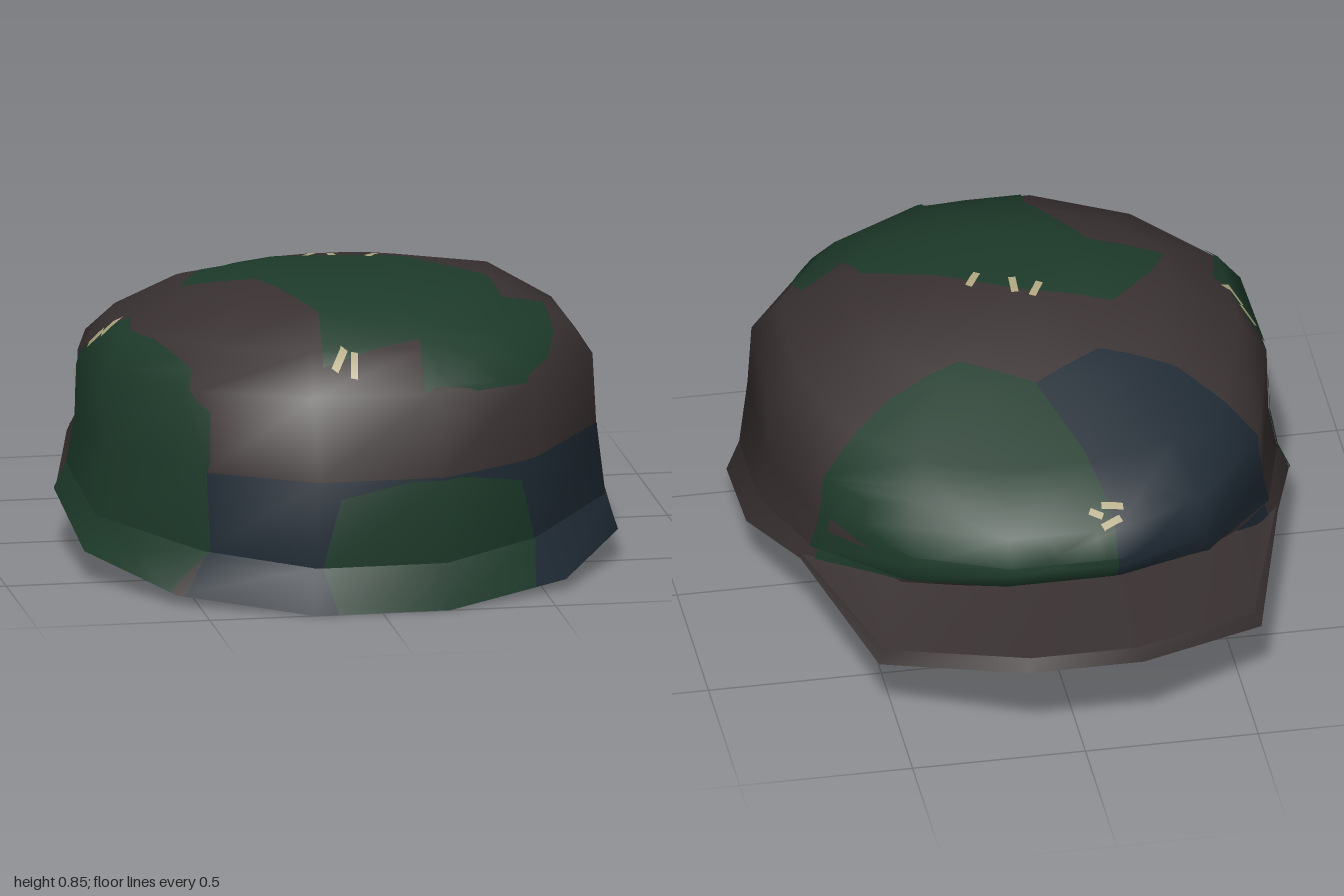
import * as THREE from 'three';

const mat = (name, color, side = THREE.FrontSide) => {
  const m = new THREE.MeshStandardMaterial({ color, side });
  m.name = name;
  return m;
};

// Half outline of a ring, front to back: width factor and depth factor
const SX = [0.25, 0.68, 0.98, 1, 0.88, 0.58, 0.22];
const SZ = [1, 0.8, 0.44, 0, -0.49, -0.86, -1];
const N = SX.length * 2;

// Rings from rim to top: half width, z front / middle / back, y front / middle / back, front corner width
const RINGS = [
  [0.785, 1.0, 0.08, -0.62, 0.0, 0.175, 0.33, 0.715],
  [0.75, 0.965, 0.08, -0.655, 0.13, 0.25, 0.36, 0.64],
  [0.725, 0.975, 0.08, -0.7, 0.385, 0.385, 0.42, 0.66],
  [0.72, 0.89, 0.08, -0.665, 0.61, 0.58, 0.52, 0.67],
  [0.645, 0.78, 0.1, -0.46, 0.72, 0.682, 0.62, 0.66],
  [0.45, 0.6, 0.15, -0.2, 0.805, 0.805, 0.735, 0.68],
  [0.21, 0.42, 0.2, 0.03, 0.845, 0.845, 0.82, 0.68],
];

function ringPoints([w, zf, zc, zb, yf, ym, yb, corner]) {
  const half = SX.map((sx, i) => {
    const s = SZ[i], k = Math.abs(s);
    const x = w * (i === 1 ? corner : sx);
    return [x, ym + ((s > 0 ? yf : yb) - ym) * k ** 0.85, zc + ((s > 0 ? zf : zb) - zc) * k];
  });
  return mirror(half);
}

const mirror = h => [...h, ...h.map(([x, y, z]) => [-x, y, z]).reverse()];

function buildGeometry(points, index) {
  const g = new THREE.BufferGeometry();
  g.setAttribute('position', new THREE.Float32BufferAttribute(points.flat(), 3));
  g.setIndex(index);
  g.computeVertexNormals();
  return g;
}

// Skin closed rings, with an optional centre point on top
function loft(rings, tip) {
  const pts = rings.flatMap(ringPoints), idx = [];
  for (let r = 0; r < rings.length - 1; r++) for (let i = 0; i < N; i++) {
    const a = r * N + i, b = r * N + (i + 1) % N;
    idx.push(a, b, b + N, a, b + N, a + N);
  }
  if (tip) {
    const base = (rings.length - 1) * N;
    pts.push(tip);
    for (let i = 0; i < N; i++) idx.push(base + i, base + (i + 1) % N, pts.length - 1);
  }
  return buildGeometry(pts, idx);
}

// Projections for painted patches: two flat axes, facing axis and its sign
const VIEW = {
  top: ['x', 'z', 'y', 1], front: ['x', 'y', 'z', 1], back: ['x', 'y', 'z', -1],
  right: ['z', 'y', 'x', -1], left: ['z', 'y', 'x', 1],
};

// Cut a convex polygon by the triangle t
function clip(poly, t) {
  const cross = (a, b, p) => (b.x - a.x) * (p.y - a.y) - (b.y - a.y) * (p.x - a.x);
  const turn = Math.sign(cross(t[0], t[1], t[2]));
  for (let e = 0; e < 3; e++) {
    const out = [];
    poly.forEach((p, i) => {
      const q = poly[(i + 1) % poly.length];
      const dp = turn * cross(t[e], t[(e + 1) % 3], p), dq = turn * cross(t[e], t[(e + 1) % 3], q);
      if (dp >= 0) out.push(p);
      if ((dp > 0 && dq < 0) || (dp < 0 && dq > 0)) out.push(p.clone().lerp(q, dp / (dp - dq)));
    });
    poly = out;
  }
  return poly;
}

// Wrap a flat outline onto the surfaces, raised slightly along the normals
function patchGeometry(surfaces, view, outline, lift, facing) {
  const [u, v, d, sign] = VIEW[view];
  const flat = outline.map(([x, y]) => new THREE.Vector2(x, y));
  const tris = THREE.ShapeUtils.triangulateShape(flat, []).map(f => f.map(i => flat[i]));
  const pos = [], nor = [];
  for (const g of surfaces) {
    const ix = g.index.array, vec = (n, i) => new THREE.Vector3().fromBufferAttribute(g.attributes[n], i);
    for (let f = 0; f < ix.length; f += 3) {
      const ids = [ix[f], ix[f + 1], ix[f + 2]];
      const P = ids.map(i => vec('position', i)), M = ids.map(i => vec('normal', i));
      const face = new THREE.Triangle(...P).getNormal(new THREE.Vector3());
      if (face[d] * sign < facing) continue;
      const T = P.map(p => new THREE.Vector2(p[u], p[v]));
      const e1 = T[1].clone().sub(T[0]), e2 = T[2].clone().sub(T[0]), det = e1.cross(e2);
      if (Math.abs(det) < 1e-7) continue;
      const raise = p => {
        const q = p.clone().sub(T[0]), b = q.cross(e2) / det, c = e1.cross(q) / det, w = [1 - b - c, b, c];
        const at = new THREE.Vector3(), n = new THREE.Vector3();
        w.forEach((k, i) => { at.addScaledVector(P[i], k); n.addScaledVector(M[i], k); });
        n.normalize();
        return { at: at.addScaledVector(n, lift), n };
      };
      for (const tri of tris) {
        const c = clip(tri, T).map(raise);
        for (let i = 1; i + 1 < c.length; i++) {
          const t = [c[0], c[i], c[i + 1]];
          const out = new THREE.Triangle(...t.map(k => k.at)).getNormal(new THREE.Vector3());
          if (out.dot(face) < 0) t.reverse();
          t.forEach(k => { pos.push(...k.at.toArray()); nor.push(...k.n.toArray()); });
        }
      }
    }
  }
  const g = new THREE.BufferGeometry();
  g.setAttribute('position', new THREE.Float32BufferAttribute(pos, 3));
  g.setAttribute('normal', new THREE.Float32BufferAttribute(nor, 3));
  return g;
}

// Thin slanted rectangle for one stitch
function bar(x, y, angle, length = 0.062, width = 0.021) {
  const c = Math.cos(angle), s = Math.sin(angle);
  return [[-1, -1], [1, -1], [1, 1], [-1, 1]].map(([i, j]) => {
    const a = i * length / 2, b = j * width / 2;
    return [x + a * c - b * s, y + a * s + b * c];
  });
}

export function createModel() {
  const brown = mat('brown cloth', 0x393131);
  const green = mat('green cloth', 0x1d3a2a);
  const blue = mat('blue cloth', 0x1f2a34);
  const cream = mat('cream thread', 0xb0a680);
  const dark = mat('dark lining', 0x383431, THREE.DoubleSide);

  const group = new THREE.Group();
  const add = (name, geometry, material) => {
    const m = new THREE.Mesh(geometry, material);
    m.name = name;
    group.add(m);
  };

  // Crown and flared band
  const crown = loft(RINGS.slice(1), [0, 0.846, 0.2]);
  const band = loft(RINGS.slice(0, 2));
  add('crown', crown, brown);
  add('band', band, brown);

  // Visor: inner edge, outer top edge, outer bottom edge, all starting on the rim
  const rim = ringPoints(RINGS[0]);
  const [rx, ry, rz] = rim[4];
  const lip = mirror([[rx - 0.005, ry + 0.015, rz], [0.535, 0.24, -0.74], [0.155, 0.325, -0.985]]);
  const lipLow = mirror([[rx, ry, rz], [0.553, 0.205, -0.76], [0.17, 0.285, -1]]);
  const inner = mirror([[0.64, 0.28, rz], [0.48, 0.34, -0.48], [0.15, 0.365, -0.6]]);
  const strip = (a, b) => {
    const idx = [], n = a.length;
    for (let i = 0; i < n - 1; i++) idx.push(i, i + 1, n + i + 1, i, n + i + 1, n + i);
    return buildGeometry([...a, ...b], idx);
  };
  add('visorTop', strip(lip, inner), brown);
  add('visorEdge', strip(lipLow, lip), brown);

  // Closed underside, in strips from side to side
  const leftEdge = [...rim.slice(0, 4), ...lipLow.slice(0, 3)];
  add('underside', strip(leftEdge, leftEdge.map(([x, y, z]) => [-x, y, z])), dark);

  // Cloth patches
  const all = [band, crown];
  const patch = (name, material, view, outline, lift, facing = 0.25, on = all) =>
    add(name, patchGeometry(on, view, outline, lift, facing), material);
  patch('frontBluePatch', blue, 'front', [[-0.57, -0.02], [-0.48, 0.13], [-0.48, 0.383], [0.4, 0.383],
    [0.69, 0.4], [0.82, 0.4], [0.82, -0.02]], 0.002);
  patch('frontGreenPatch', green, 'front', [[-0.12, -0.02], [-0.165, 0.13], [-0.115, 0.33], [0.09, 0.375],
    [0.24, 0.375], [0.43, 0.33], [0.475, 0.14], [0.46, -0.02]], 0.004);
  patch('rightGreenPatch', green, 'right', [[0.08, 0], [0.06, 0.35], [0.07, 0.52], [0.18, 0.66], [0.28, 0.715],
    [0.48, 0.7], [0.65, 0.65], [0.76, 0.55], [0.8, 0.4], [0.8, 0.13], [0.79, -0.02]], 0.004);
  patch('topGreenPatch', green, 'top', [[-0.27, 0.07], [-0.05, 0.12], [0.15, 0.2], [0.41, 0.33], [0.44, 0.45],
    [0.57, 0.38], [0.58, 0.5], [0.54, 0.62], [0.46, 0.745], [0.3, 0.83], [0.14, 0.89], [0.15, 0.75],
    [-0.14, 0.82], [-0.12, 0.63], [-0.25, 0.36], [-0.46, 0.29], [-0.4, 0.18]], 0.004);
  patch('rearBluePatch', blue, 'top', [[-0.16, -0.8], [-0.7, -0.8], [-0.75, -0.3], [-0.63, -0.3], [-0.42, -0.15],
    [-0.2, -0.1], [0, -0.2], [-0.1, -0.42], [-0.14, -0.58]], 0.002, 0.02);
  patch('rearGreenPatch', green, 'top', [[0, -0.2], [0.2, -0.1], [0.42, -0.16], [0.64, -0.3], [0.75, -0.3],
    [0.7, -0.8], [-0.16, -0.8], [-0.14, -0.58], [-0.1, -0.42]], 0.004, 0.02);
  patch('rearLowerBlue', blue, 'back', [[-0.75, 0.2], [-0.15, 0.2], [-0.15, 0.44], [-0.75, 0.44]], 0.002, 0.25, [crown]);
  patch('rearLowerGreen', green, 'back', [[-0.15, 0.2], [0.75, 0.2], [0.75, 0.44], [-0.15, 0.44]], 0.004, 0.25, [crown]);
  const sidePoint = [[-0.3, 0.46], [-0.26, 0.24], [-0.36, 0.24], [-0.36, 0.46]];
  patch('rearSideBlue', blue, 'right', sidePoint, 0.002, 0.25, [crown]);
  patch('rearSideGreen', green, 'left', sidePoint, 0.004, 0.25, [crown]);
  patch('rearBrownGap', brown, 'left', [[-0.33, 0.43], [-0.33, 0.385], [-0.46, 0.4]], 0.006);

  // Stitches holding the patches
  const stitches = {
    top: [[-0.06, 0.125, -1.05], [0, 0.15, 1.6], [0.11, 0.19, -1], [-0.14, -0.645, -0.4], [-0.15, -0.595, 0.1],
      [-0.1, -0.615, 0.5, 0.04]],
    front: [[-0.09, 0.695, 0.95], [-0.05, 0.68, 1.4]],
    right: [[0.23, 0.675, 0.9], [0.18, 0.635, 0.9], [0.07, 0.51, 0.2]],
  };
  for (const [view, list] of Object.entries(stitches))
    list.forEach(args => patch('stitch', cream, view, bar(...args), 0.007, 0.1));
  return group;
}
